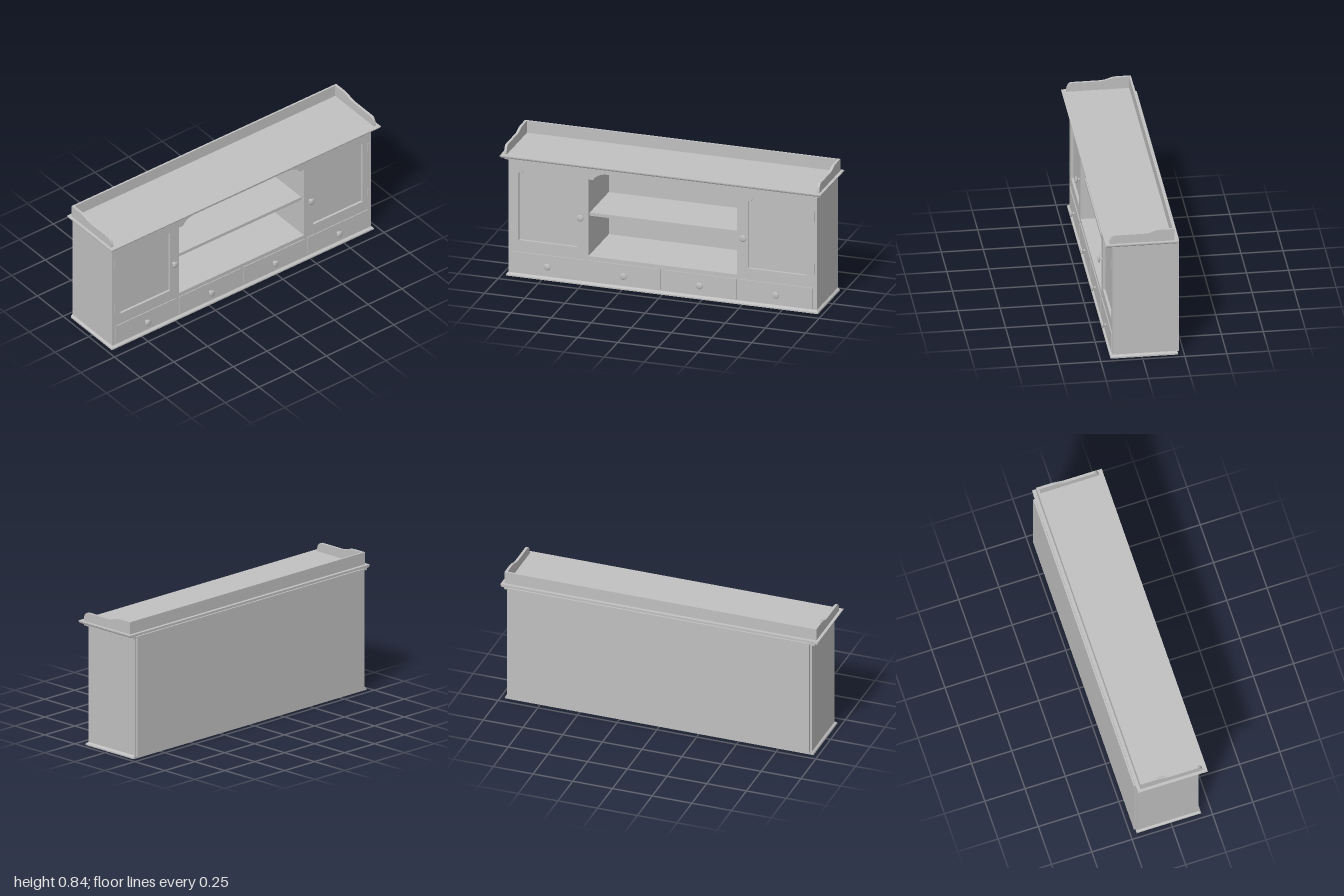
import * as THREE from 'three';

const wood = new THREE.MeshStandardMaterial({ color: 0xc0c0c0 });
wood.name = 'plain wood';

const FRONT = 0.175, BACK = -0.212, HALF = 0.96, NICHE = 0.463;

function add(group, name, geometry) {
  const mesh = new THREE.Mesh(geometry, wood);
  mesh.name = name;
  group.add(mesh);
  return mesh;
}

// Box given by its minimum and maximum corners
function box(group, name, x0, x1, y0, y1, z0, z1) {
  const mesh = add(group, name, new THREE.BoxGeometry(x1 - x0, y1 - y0, z1 - z0));
  mesh.position.set((x0 + x1) / 2, (y0 + y1) / 2, (z0 + z1) / 2);
  return mesh;
}

// Moulding round the front and sides, flush at the back; profile is [overhang, y] going up
function moulding(profile) {
  const rings = profile.map(([o, y]) => {
    const x = HALF + o, z = FRONT + o * 1.15;
    return [[-x, y, BACK], [-x, y, z], [x, y, z], [x, y, BACK]];
  });
  const pos = [];
  const quad = (a, b, c, d) => pos.push(...a, ...b, ...c, ...a, ...c, ...d);
  for (let i = 0; i < rings.length - 1; i++) {
    for (let k = 0; k < 4; k++) {
      const n = (k + 1) % 4;
      quad(rings[i][k], rings[i][n], rings[i + 1][n], rings[i + 1][k]);
    }
  }
  const top = rings[rings.length - 1], base = rings[0];
  quad(top[0], top[1], top[2], top[3]);
  quad(base[3], base[2], base[1], base[0]);
  const g = new THREE.BufferGeometry();
  g.setAttribute('position', new THREE.Float32BufferAttribute(pos, 3));
  g.computeVertexNormals();
  return g;
}

// Opening with small shoulders and a flattened arch
function archedHole(x0, x1, y0, shoulder, top, step, run) {
  const p = new THREE.Path();
  p.moveTo(x0, y0);
  p.lineTo(x0, shoulder);
  p.lineTo(x0 + step, shoulder);
  p.bezierCurveTo(x0 + step + run * 0.15, shoulder + (top - shoulder) * 0.6,
    x0 + step + run * 0.5, top, x0 + step + run, top);
  p.lineTo(x1 - step - run, top);
  p.bezierCurveTo(x1 - step - run * 0.5, top,
    x1 - step - run * 0.15, shoulder + (top - shoulder) * 0.6, x1 - step, shoulder);
  p.lineTo(x1, shoulder);
  p.lineTo(x1, y0);
  p.closePath();
  return p;
}

// Turned knob pointing forward
const knobProfile = [[0, 0], [0.012, 0], [0.011, 0.003], [0.006, 0.007], [0.005, 0.014],
  [0.012, 0.016], [0.019, 0.018], [0.021, 0.021], [0.02, 0.025], [0.014, 0.028], [0, 0.029]];
const knobGeometry = new THREE.LatheGeometry(
  knobProfile.map(([r, y]) => new THREE.Vector2(r, y)), 24).rotateX(Math.PI / 2);
function knob(group, name, x, y, z) {
  add(group, name, knobGeometry).position.set(x, y, z);
}

export function createModel() {
  const model = new THREE.Group();
  model.name = 'wallCabinet';

  // Carcass
  box(model, 'drawerCase', -HALF, HALF, 0.02, 0.182, -0.21, 0.16);
  box(model, 'carcassTop', -NICHE, NICHE, 0.725, 0.742, -0.21, 0.16);
  box(model, 'nicheBack', -NICHE, NICHE, 0.182, 0.725, -0.21, -0.2);
  box(model, 'backPanel', -0.948, 0.948, 0.01, 0.755, -0.222, -0.21);
  box(model, 'shelf', -NICHE, NICHE, 0.429, 0.449, -0.2, 0.15);

  // Front frame with the niche and door openings
  const frame = new THREE.Shape();
  frame.moveTo(-HALF, 0.02);
  frame.lineTo(HALF, 0.02);
  frame.lineTo(HALF, 0.742);
  frame.lineTo(-HALF, 0.742);
  frame.closePath();
  frame.holes.push(
    archedHole(-NICHE, NICHE, 0.182, 0.667, 0.712, 0.03, 0.09),
    archedHole(-0.897, -0.53, 0.23, 0.658, 0.704, 0.02, 0.08),
    archedHole(0.53, 0.897, 0.23, 0.658, 0.704, 0.02, 0.08));
  add(model, 'frontFrame', new THREE.ExtrudeGeometry(frame,
    { depth: 0.015, bevelEnabled: false, curveSegments: 10 })).position.z = 0.16;

  // Gallery side outline, drawn as depth against height
  const side = new THREE.Shape();
  side.moveTo(-0.192, 0.768);
  side.lineTo(0.195, 0.768);
  side.bezierCurveTo(0.193, 0.795, 0.185, 0.824, 0.16, 0.824);
  side.lineTo(0, 0.824);
  side.bezierCurveTo(-0.055, 0.824, -0.06, 0.844, -0.11, 0.844);
  side.lineTo(-0.192, 0.844);
  side.closePath();
  const sideGeometry = new THREE.ExtrudeGeometry(side,
    { depth: 0.016, bevelEnabled: false, curveSegments: 10 }).rotateY(-Math.PI / 2);

  // Cupboards, gallery sides, hinges and door knobs on both sides
  for (const s of [-1, 1]) {
    const label = s > 0 ? 'left' : 'right';
    const a = s * NICHE, b = s * HALF;
    box(model, label + 'Cupboard', Math.min(a, b), Math.max(a, b), 0.182, 0.742, -0.21, 0.16);
    add(model, label + 'GallerySide', sideGeometry).position.x = s > 0 ? 0.982 : -0.966;
    for (const y of [0.28, 0.61]) {
      const x = s * 0.94;
      box(model, label + 'Hinge', x - 0.005, x + 0.005, y - 0.032, y + 0.032, 0.17, 0.179);
    }
    knob(model, label + 'DoorKnob', s * 0.507, 0.424, FRONT);
  }
  box(model, 'galleryBack', -0.966, 0.966, 0.768, 0.844, -0.192, -0.18);

  // Drawers
  for (const x of [-0.711, -0.237, 0.237, 0.711]) {
    box(model, 'drawerFront', x - 0.225, x + 0.225, 0.026, 0.156, 0.165, 0.18);
    knob(model, 'drawerKnob', x, 0.091, 0.179);
  }

  // Base and cornice mouldings
  add(model, 'plinth', moulding([[0.012, 0], [0.012, 0.008], [0.009, 0.013],
    [0.004, 0.016], [0.001, 0.02]]));
  add(model, 'cornice', moulding([[0.018, 0.74], [0.018, 0.75], [0.022, 0.752],
    [0.032, 0.753], [0.036, 0.757], [0.038, 0.763], [0.04, 0.764], [0.04, 0.769]]));

  return model;
}
